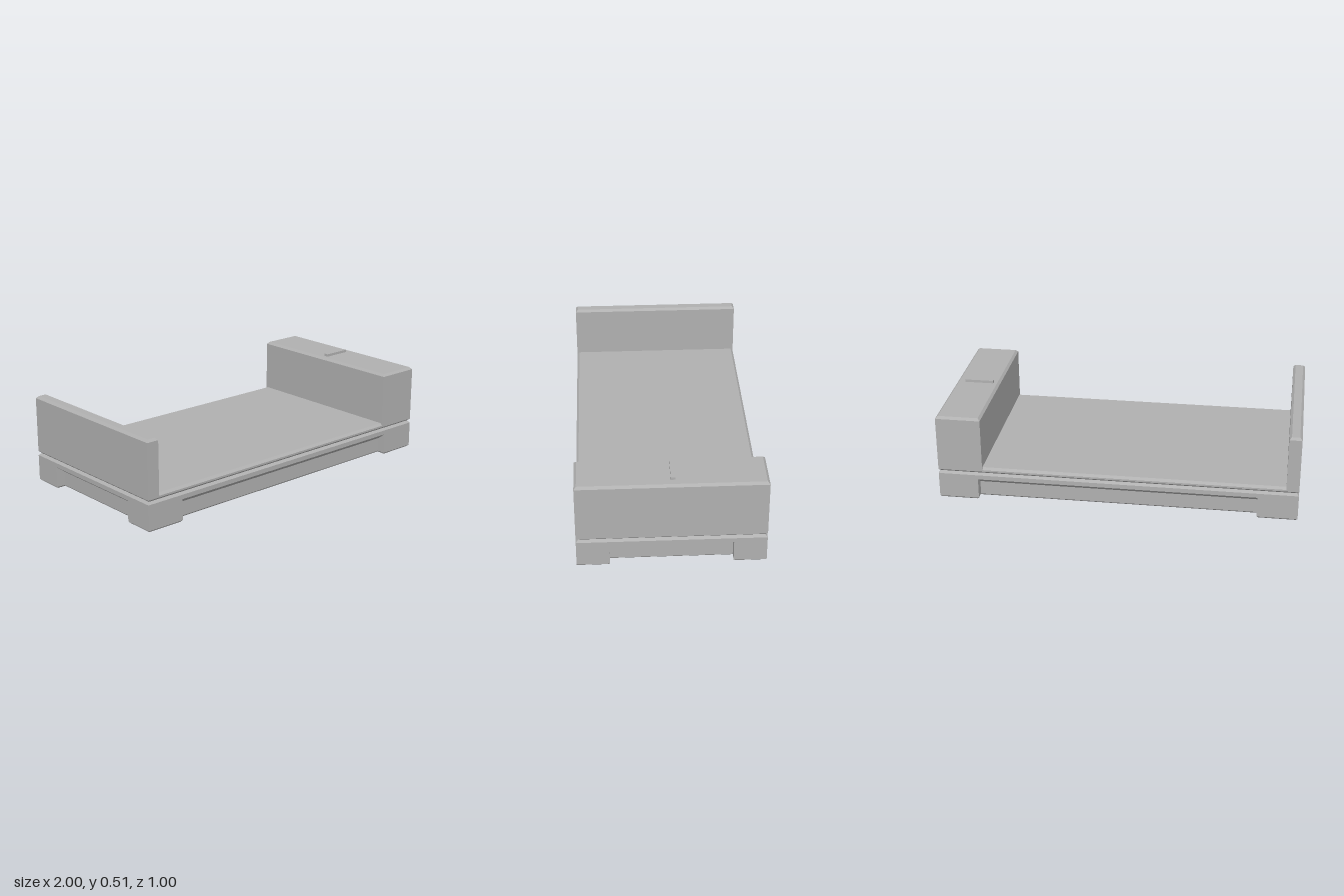
import * as THREE from 'three';

// Rectangle outline, anticlockwise seen from above
const rect = (x0, x1, z0, z1) => [[x0, z1], [x1, z1], [x1, z0], [x0, z0]];

// Rectangle with a notch in the middle of every side
function notched(X, Z, nx, nz, xi, zi) {
  const half = [[-X, Z], [-nx, Z], [-nx, zi], [nx, zi], [nx, Z],
    [X, Z], [X, nz], [xi, nz], [xi, -nz], [X, -nz]];
  return [...half, ...half.map(([x, z]) => [-x, -z])];
}

// Flat-sided solid through a stack of [height, outline] rings
function loft(rings, capBottom = true, capTop = true) {
  const pos = [];
  const pt = ([y, o], i) => { const [x, z] = o[i % o.length]; return new THREE.Vector3(x, y, z); };
  const tri = (a, b, c) => {
    const area = b.clone().sub(a).cross(c.clone().sub(a)).length();
    if (area > 1e-9) for (const v of [a, b, c]) pos.push(v.x, v.y, v.z);
  };
  for (let k = 0; k + 1 < rings.length; k++) {
    for (let i = 0; i < rings[k][1].length; i++) {
      const a = pt(rings[k], i), b = pt(rings[k], i + 1);
      const c = pt(rings[k + 1], i + 1), d = pt(rings[k + 1], i);
      tri(a, b, c);
      tri(a, c, d);
    }
  }
  const cap = (ring, up) => {
    const flat = ring[1].map(([x, z]) => new THREE.Vector2(x, -z));
    for (const [a, b, c] of THREE.ShapeUtils.triangulateShape(flat, [])) {
      if (up) tri(pt(ring, a), pt(ring, b), pt(ring, c));
      else tri(pt(ring, c), pt(ring, b), pt(ring, a));
    }
  };
  if (capBottom) cap(rings[0], false);
  if (capTop) cap(rings[rings.length - 1], true);
  const g = new THREE.BufferGeometry();
  g.setAttribute('position', new THREE.Float32BufferAttribute(pos, 3));
  g.computeVertexNormals();
  return g;
}

export function createModel() {
  const group = new THREE.Group();
  const grey = new THREE.MeshStandardMaterial({ color: 0xb0b0b0 });
  grey.name = 'plain grey';
  const add = (name, geometry) => {
    const mesh = new THREE.Mesh(geometry, grey);
    mesh.name = name;
    group.add(mesh);
  };
  const c = 0.013; // chamfer width
  const full = rect(-1, 1, -0.5, 0.5);
  const inset = rect(-1 + c, 1 - c, -0.5 + c, 0.5 - c);

  // Base with corner feet; each recess slopes out to the rim above it
  const feet = notched(1, 0.5, 0.777, 0.325, 0.95, 0.45);
  add('baseFeet', loft([
    [0, notched(0.99, 0.49, 0.787, 0.335, 0.94, 0.44)],
    [0.01, feet],
    [0.09, feet],
    [0.127, notched(1, 0.5, 0.777, 0.325, 1, 0.5)],
  ], true, false));
  add('baseRim', loft([[0.127, full], [0.152, full], [0.165, inset]], false));

  // Tray above the groove
  add('trayPlate', loft([[0.165, inset], [0.177, full], [0.187, full]], true, false));
  add('trayFloor', loft([
    [0.187, rect(-0.93, 0.75, -0.5, 0.5)],
    [0.2, rect(-0.93, 0.75, -0.5 + c, 0.5 - c)],
  ], false));

  // End walls with chamfered tops
  for (const [name, x0, x1] of [['thinEndWall', -1, -0.93], ['thickEndBlock', 0.75, 1]]) {
    const wall = rect(x0, x1, -0.5, 0.5);
    add(name, loft([[0.187, wall], [0.487, wall],
      [0.5, rect(x0 + c, x1 - c, -0.5 + c, 0.5 - c)]], false));
  }

  // Plain raised marker bar on the thick end
  add('raisedMarker', loft([
    [0.499, rect(0.785, 0.95, -0.02, 0.005)],
    [0.515, rect(0.785, 0.95, -0.02, 0.005)],
  ]));
  return group;
}
